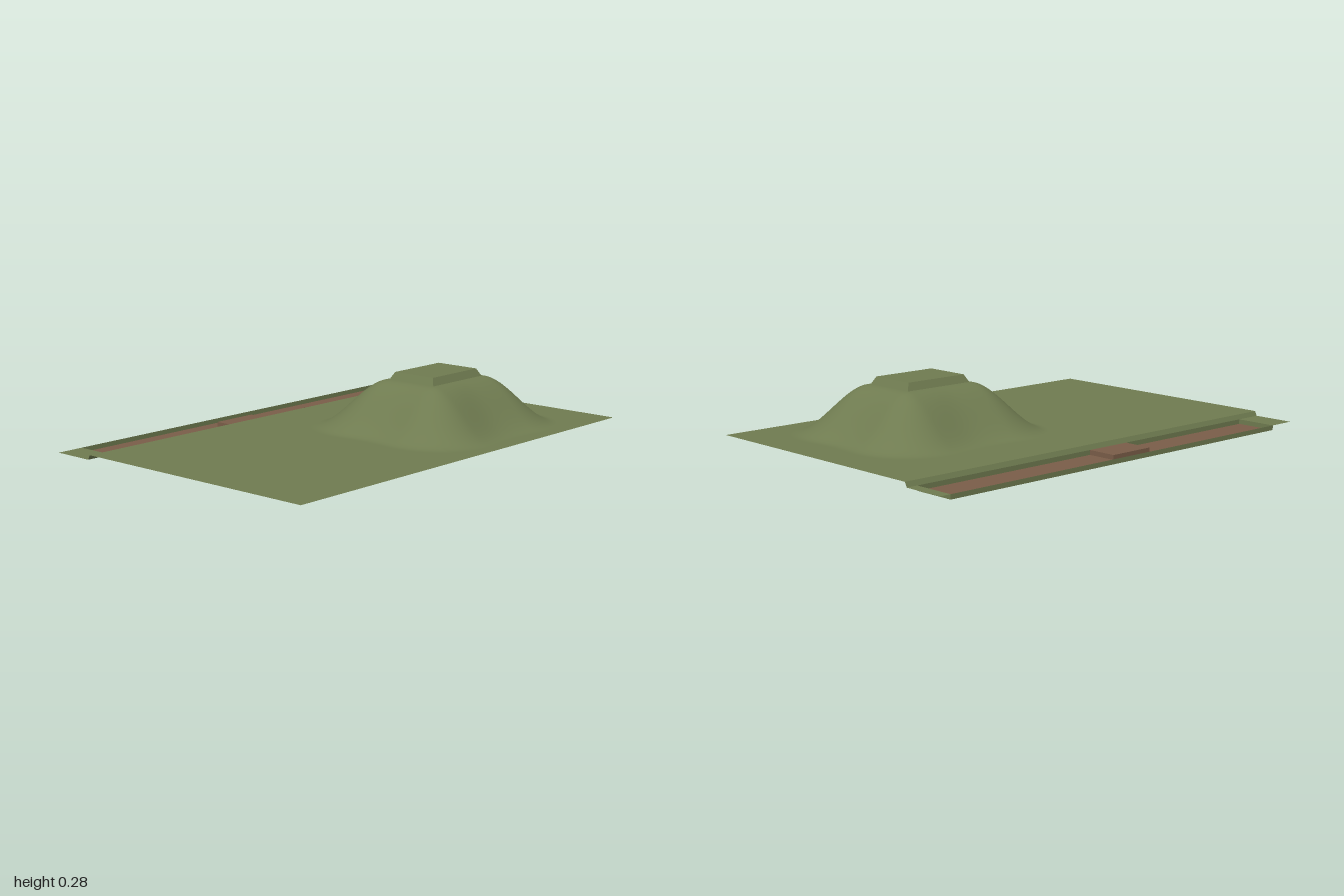
import * as THREE from 'three';
import { toCreasedNormals } from 'three/addons/utils/BufferGeometryUtils.js';

const grass = new THREE.MeshStandardMaterial({ color: 0x6f7b50, side: THREE.DoubleSide });
const earth = new THREE.MeshStandardMaterial({ color: 0x7a5d48, side: THREE.DoubleSide });

// levels: ditch floor, rear ledge, field, hilltop rim, hilltop
const FLOOR = 0, LEDGE = 0.02, FIELD = 0.04, RIM = 0.245, TOP = 0.277;
const BACK = -0.675, BANK = -0.49;
const hill = { x0: 0.205, x1: 0.535, z0: 0.06, z1: 0.3, cx: 0.37, cz: 0.18 };
const smooth = (t) => t * t * (3 - 2 * t);

// Grid lines from [end, segments] spans, so that hard edges fall on a line
function gridLines(start, spans) {
  const out = [start];
  for (const [end, n] of spans) {
    const from = out[out.length - 1];
    for (let i = 1; i <= n; i++) out.push(from + ((end - from) * i) / n);
  }
  return out;
}

// Hill height: lobed smooth flanks around a rectangle, with a bevelled cap
function height(x, z) {
  const dx = Math.max(hill.x0 - x, 0, x - hill.x1);
  const dz = Math.max(hill.z0 - z, 0, z - hill.z1);
  const angle = Math.atan2(z - hill.cz, x - hill.cx);
  const reach = 0.308 - 0.02 * Math.cos(4 * angle);
  const t = Math.max(0, 1 - Math.hypot(dx, dz) / reach);
  const inX = Math.min(x - hill.x0, hill.x1 - x) / 0.017;
  const inZ = Math.min(z - hill.z0, hill.z1 - z) / 0.017;
  const cap = THREE.MathUtils.clamp(Math.min(inX, inZ), 0, 1);
  return FIELD + (RIM - FIELD) * smooth(t) + (TOP - RIM) * cap;
}

function fieldGeometry() {
  const xs = gridLines(-1, [[-0.14, 4], [0.205, 26], [0.222, 1], [0.518, 12], [0.535, 1], [0.88, 26], [1, 2]]);
  const zs = gridLines(-0.48, [[-0.28, 2], [0.06, 26], [0.077, 1], [0.283, 10], [0.3, 1], [0.64, 26], [0.675, 1]]);
  const pos = [], index = [], w = xs.length;
  for (const z of zs) for (const x of xs) pos.push(x, height(x, z), z);
  for (let j = 0; j < zs.length - 1; j++) {
    for (let i = 0; i < w - 1; i++) {
      const a = j * w + i, b = a + 1, c = a + w, d = c + 1;
      // diagonals radiate from the hill centre
      const radial = (xs[i] + 0.001 < hill.cx) === (zs[j] + 0.001 < hill.cz);
      if (radial) index.push(a, c, d, a, d, b);
      else index.push(a, c, b, b, c, d);
    }
  }
  const g = new THREE.BufferGeometry();
  g.setAttribute('position', new THREE.Float32BufferAttribute(pos, 3));
  g.setIndex(index);
  return toCreasedNormals(g, 0.6);
}

// Flat four-cornered panel, corners counter-clockwise
function quad(a, b, c, d) {
  const g = new THREE.BufferGeometry();
  g.setAttribute('position', new THREE.Float32BufferAttribute([...a, ...b, ...c, ...d], 3));
  g.setIndex([0, 1, 2, 0, 2, 3]);
  g.computeVertexNormals();
  return g;
}
const level = (x0, x1, z0, z1, y) => quad([x0, y, z1], [x1, y, z1], [x1, y, z0], [x0, y, z0]);
const wallX = (x, z0, z1, y0, y1) => quad([x, y0, z1], [x, y0, z0], [x, y1, z0], [x, y1, z1]);
const wallZ = (z, x0, x1, y0, y1) => quad([x0, y0, z], [x1, y0, z], [x1, y1, z], [x0, y1, z]);

export function createModel() {
  const model = new THREE.Group();
  model.name = 'terrain';
  const add = (name, geometry, material) => {
    const mesh = new THREE.Mesh(geometry, material);
    mesh.name = name;
    model.add(mesh);
  };

  add('fieldWithHill', fieldGeometry(), grass);

  // Bank dropping from the field to the rear ledge
  add('bank', quad([1, LEDGE, BANK], [-1, LEDGE, BANK], [-1, FIELD, -0.48], [1, FIELD, -0.48]), grass);

  // Ledge ends and the sides of the ditch between them
  const L = -0.88, R = 0.95, s0 = -0.16, s1 = 0.05, sz = -0.62;
  add('ledgeRight', level(-1, L, BACK, BANK, LEDGE), grass);
  add('ledgeLeft', level(R, 1, BACK, BANK, LEDGE), grass);
  for (const x of [L, R]) add('ditchEnd', wallX(x, BACK, BANK, FLOOR, LEDGE), grass);
  add('ditchBack', wallZ(BACK, L, R, FLOOR, LEDGE), grass);
  add('ditchFrontRight', wallZ(BANK, L, s0, FLOOR, LEDGE), grass);
  add('ditchFrontLeft', wallZ(BANK, s1, R, FLOOR, LEDGE), grass);

  // Ditch floor around the raised step
  add('ditchFloorRight', level(L, s0, BACK, BANK, FLOOR), earth);
  add('ditchFloorLeft', level(s1, R, BACK, BANK, FLOOR), earth);
  add('ditchFloorBack', level(s0, s1, BACK, sz, FLOOR), earth);

  // Step, hollow underneath
  add('stepTop', level(s0, s1, sz, BANK, LEDGE), earth);
  add('stepBack', wallZ(sz, s0, s1, FLOOR, LEDGE), earth);
  for (const x of [s0, s1]) add('stepSide', wallX(x, sz, BANK, FLOOR, LEDGE), earth);

  return model;
}
